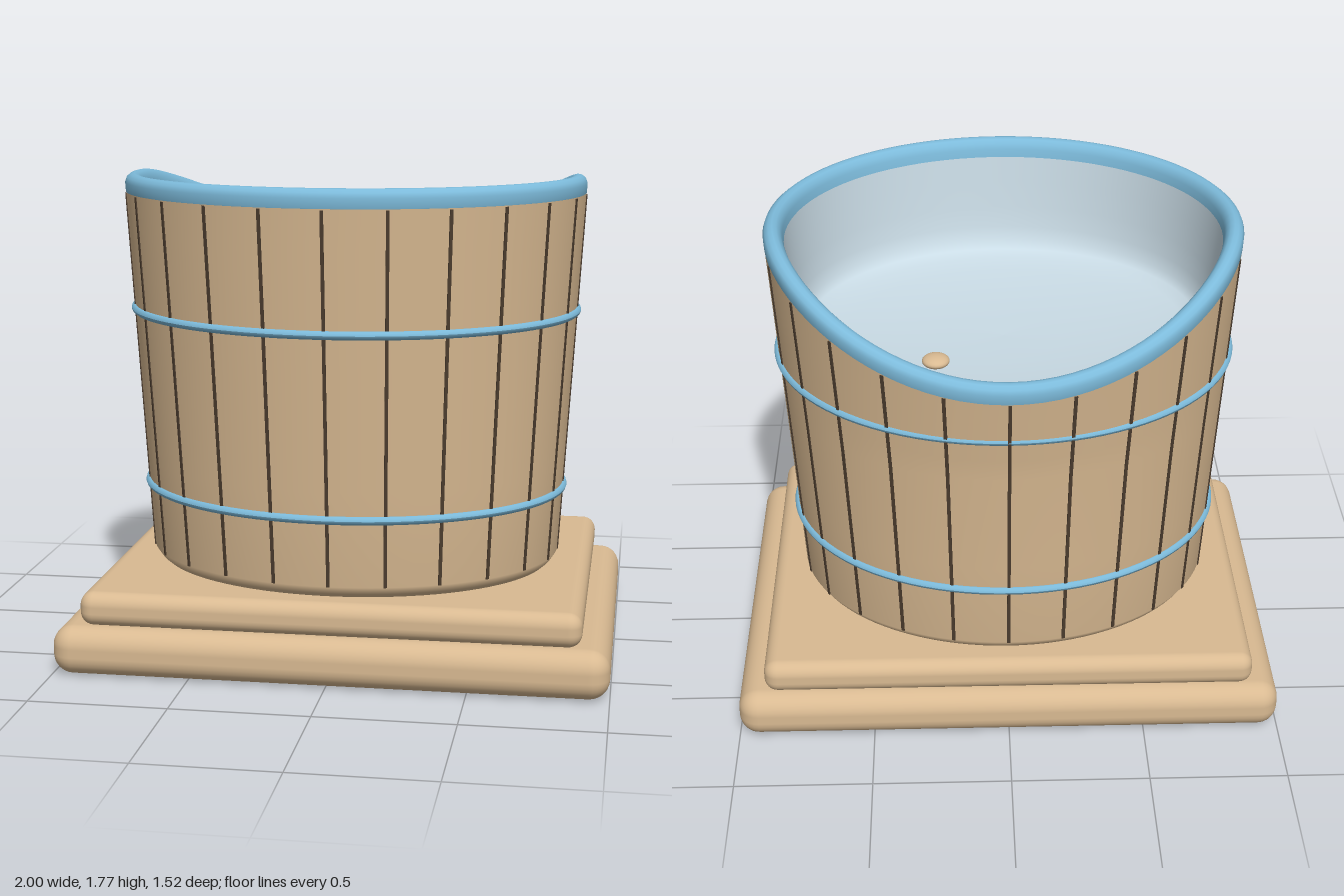
import * as THREE from 'three';
import { mergeGeometries } from 'three/addons/utils/BufferGeometryUtils.js';
import { RoundedBoxGeometry } from 'three/addons/geometries/RoundedBoxGeometry.js';

const SEGMENTS = 96;
const STAVES = 24;
const RIM_Y = 1.7;

// Oval tub wall: half-widths grow with height
const halfWidth = (y) => 0.775 + 0.06 * (y - 0.35);
const halfDepth = (y) => 0.64 + 0.085 * (y - 0.35);

// Point on the tub; the back half dips progressively above sagStart
function tubPoint(angle, y, offset = 0, scale = 1, sagStart = 1.1) {
  const s = Math.sin(angle), c = Math.cos(angle);
  const weight = Math.min(1, Math.max(0, (y - sagStart) / (RIM_Y - sagStart)));
  const sag = c < 0 ? 0.27 * c * c * weight : 0;
  return new THREE.Vector3(
    (halfWidth(y) + offset) * scale * s,
    y - sag,
    (halfDepth(y) + offset) * scale * c
  );
}

// Closed loops through rows of [y, offset, scale]
function loft(rows, sagStart) {
  const positions = [], index = [];
  rows.forEach(([y, offset, scale]) => {
    for (let i = 0; i < SEGMENTS; i++) {
      positions.push(...tubPoint((i / SEGMENTS) * Math.PI * 2, y, offset, scale, sagStart).toArray());
    }
  });
  for (let r = 0; r < rows.length - 1; r++) {
    for (let i = 0; i < SEGMENTS; i++) {
      const j = (i + 1) % SEGMENTS;
      const a = r * SEGMENTS + i, b = r * SEGMENTS + j;
      index.push(a, b, b + SEGMENTS, a, b + SEGMENTS, a + SEGMENTS);
    }
  }
  const geometry = new THREE.BufferGeometry();
  geometry.setAttribute('position', new THREE.Float32BufferAttribute(positions, 3));
  geometry.setIndex(index);
  geometry.computeVertexNormals();
  return geometry;
}

// Level band of round section around the tub
function hoopGeometry(y, radius) {
  const rows = [];
  for (let k = 0; k <= 10; k++) {
    const t = (k / 10) * Math.PI * 2;
    rows.push([y + radius * Math.sin(t), radius * Math.cos(t)]);
  }
  return loft(rows, 1.6);
}

// Thin strip following the wall from bottom to rim
function seamGeometry(angle) {
  const geometry = new THREE.BoxGeometry(0.012, 1, 0.008, 1, 18, 1);
  const p = geometry.attributes.position;
  for (let i = 0; i < p.count; i++) {
    const y = 0.35 + (p.getY(i) + 0.5) * 1.345;
    const normal = new THREE.Vector3(
      Math.sin(angle) / halfWidth(y), 0, Math.cos(angle) / halfDepth(y)
    ).normalize();
    const tangent = new THREE.Vector3(normal.z, 0, -normal.x);
    const v = tubPoint(angle, y).addScaledVector(tangent, p.getX(i)).addScaledVector(normal, p.getZ(i));
    p.setXYZ(i, v.x, v.y, v.z);
  }
  geometry.computeVertexNormals();
  return geometry;
}

export function createModel() {
  const material = (name, color) => {
    const m = new THREE.MeshStandardMaterial({ color });
    m.name = name;
    return m;
  };
  const wood = material('wood', 0xd9ba92);
  const blue = material('blueTrim', 0x7dbbdb);
  const lining = material('paleLining', 0xc9dbe5);
  const dark = material('darkSeam', 0x4c3d2f);

  const model = new THREE.Group();
  model.name = 'woodenTub';
  const add = (name, geometry, mat) => {
    const mesh = new THREE.Mesh(geometry, mat);
    mesh.name = name;
    model.add(mesh);
    return mesh;
  };

  // Two-step plinth
  add('lowerPlinth', new RoundedBoxGeometry(2, 0.18, 1.5, 4, 0.075), wood).position.y = 0.09;
  add('upperPlinth', new RoundedBoxGeometry(1.8, 0.125, 1.425, 4, 0.05), wood).position.y = 0.2425;

  // Tub wall with a rounded foot
  add('tubWall', loft([
    [0.3, -0.04], [0.32, -0.018], [0.35, 0], [0.7, 0], [1.1, 0],
    [1.25, 0], [1.4, 0], [1.55, 0], [RIM_Y, 0],
  ]), wood);

  // Seams between staves
  const seams = [];
  for (let i = 0; i < STAVES; i++) seams.push(seamGeometry((i / STAVES) * Math.PI * 2));
  add('staveSeams', mergeGeometries(seams), dark);

  // Hoops
  add('lowerHoop', hoopGeometry(0.6, 0.016), blue);
  add('upperHoop', hoopGeometry(1.265, 0.016), blue);

  // Rounded rim
  add('rim', loft([
    [1.695, -0.004], [1.7, 0.001], [1.735, 0.001], [1.753, -0.007], [1.764, -0.021],
    [1.767, -0.035], [1.763, -0.05], [1.75, -0.062], [1.73, -0.068], [1.7, -0.07],
  ]), blue);

  // Inner wall running into a shallow dished floor
  add('lining', loft([
    [1.71, -0.068], [1.6, -0.073], [1.5, -0.078], [1.42, -0.084], [1.37, -0.095], [1.34, -0.115],
    [1.325, -0.115, 0.93], [1.31, -0.115, 0.8], [1.295, -0.115, 0.55],
    [1.288, -0.115, 0.3], [1.285, -0.115, 0],
  ], 1.36), lining);

  // Drain plug
  const plug = add('drainPlug', new THREE.SphereGeometry(0.05, 24, 16), wood);
  plug.scale.y = 0.45;
  plug.position.set(0.25, 1.315, -0.24);

  return model;
}
